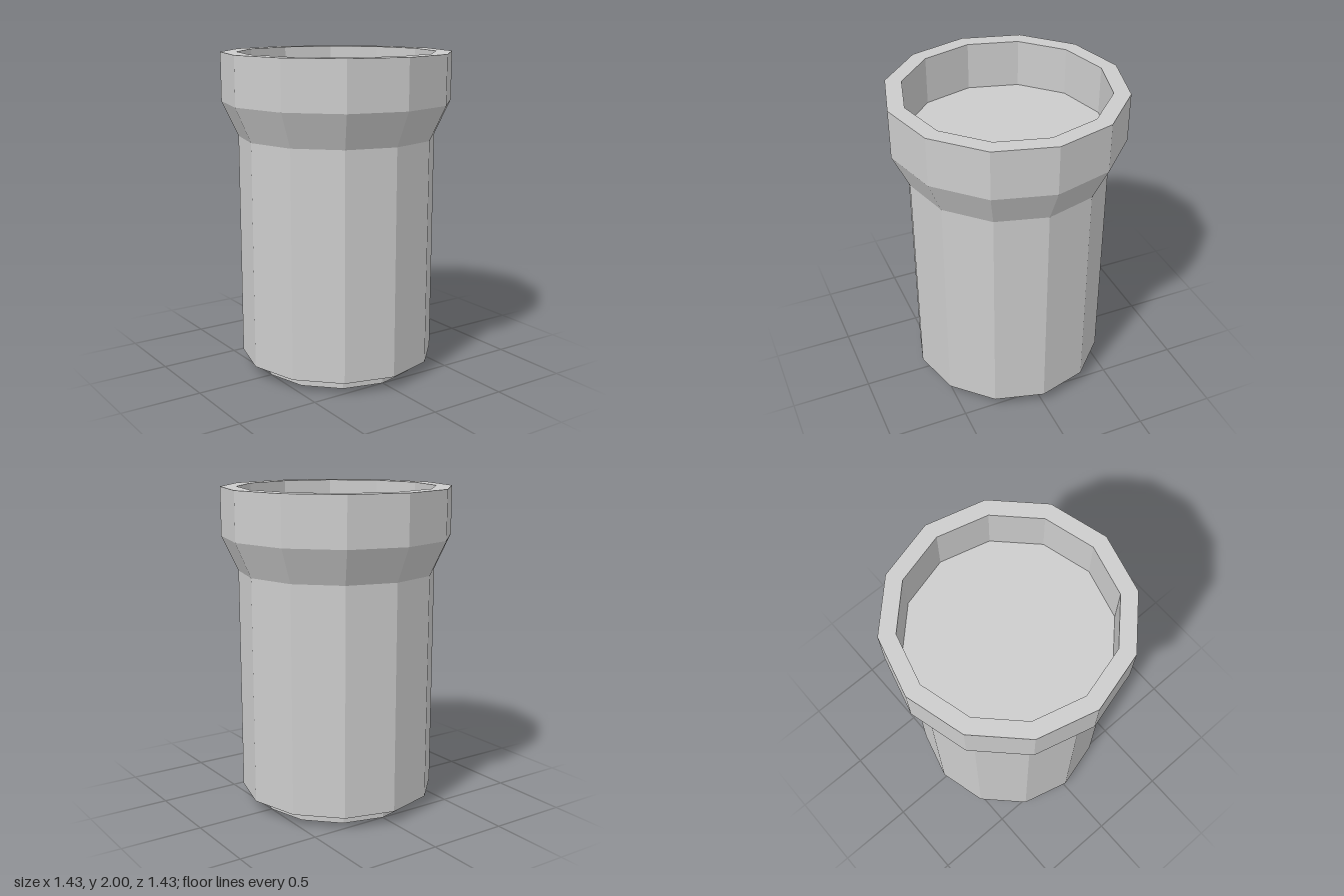
import * as THREE from 'three';

const SIDES = 12;

// Revolves [radius, height] points into a faceted surface; listed bottom centre outward and up.
function facetedRing(name, points, material) {
  const profile = points.map(([r, y]) => new THREE.Vector2(r, y));
  const geometry = new THREE.LatheGeometry(profile, SIDES).toNonIndexed();
  geometry.computeVertexNormals();
  const mesh = new THREE.Mesh(geometry, material);
  mesh.name = name;
  return mesh;
}

export function createModel() {
  const grey = new THREE.MeshStandardMaterial({ color: 0xcccccc });
  grey.name = 'light grey';

  const group = new THREE.Group();
  group.name = 'flaredPipe';

  group.add(
    // Base ring with a shallow round recess underneath
    facetedRing('foot', [[0, 0.08], [0.32, 0.08], [0.32, 0], [0.5, 0], [0.5, 0.08]], grey),
    // Straight barrel with its underside ledge
    facetedRing('barrel', [[0.5, 0.08], [0.613, 0.08], [0.613, 1.485]], grey),
    // Sloped shoulder widening to the collar
    facetedRing('shoulder', [[0.613, 1.485], [0.713, 1.7]], grey),
    // Collar wall, rim and inside of the socket
    facetedRing('collar', [[0.713, 1.7], [0.713, 2], [0.613, 2], [0.613, 1.7]], grey),
    // Flat floor of the socket
    facetedRing('socketFloor', [[0.613, 1.7], [0, 1.7]], grey),
  );
  return group;
}
